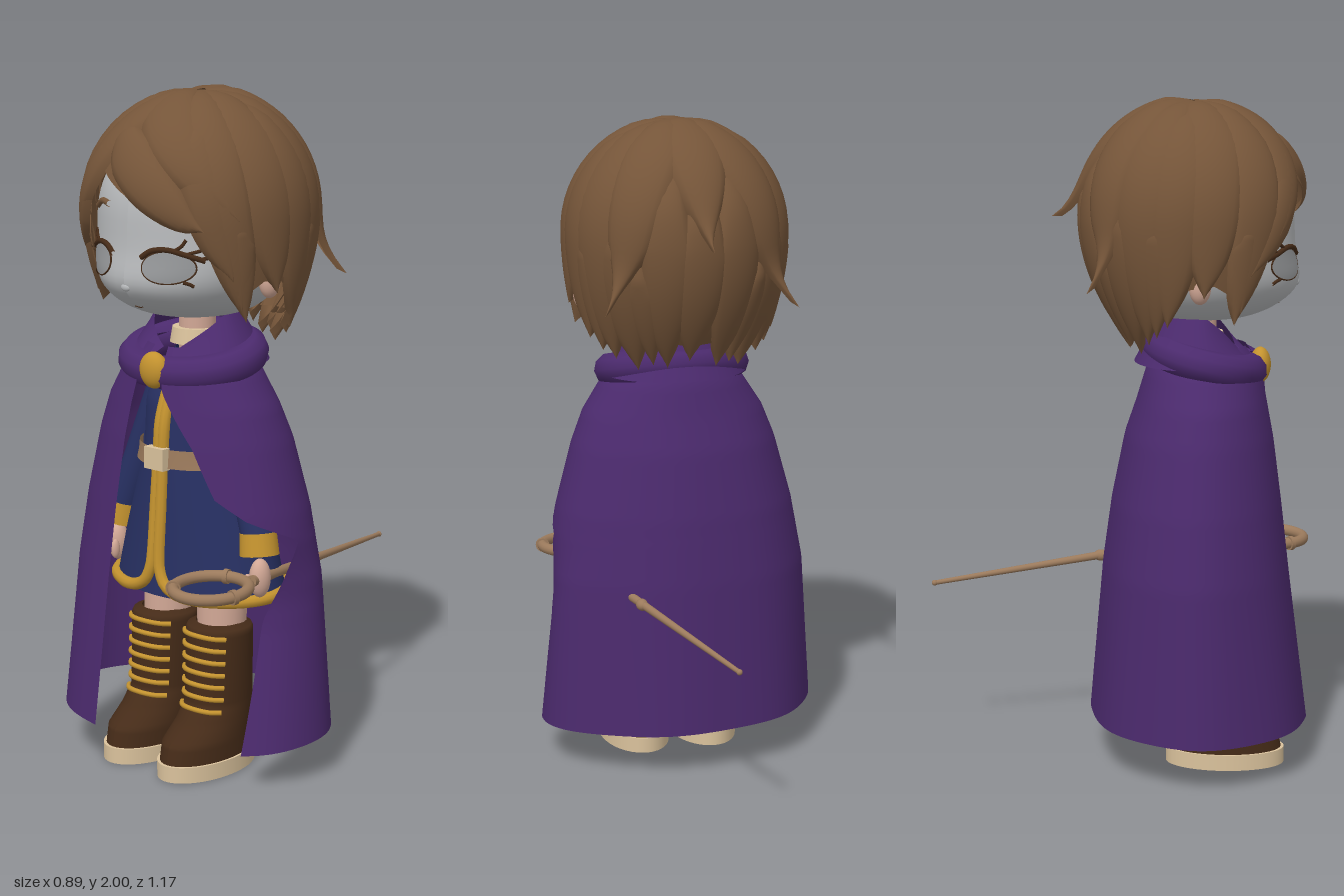
import * as THREE from 'three';

const V = (x, y, z) => new THREE.Vector3(x, y, z);
const rad = THREE.MathUtils.degToRad;
const mat = (name, color) => {
  const m = new THREE.MeshStandardMaterial({ color, side: THREE.DoubleSide });
  m.name = name;
  return m;
};

// Linear interpolation in rows [key, a, b, ...] sorted by key
function keyed(rows, k) {
  let i = 0;
  while (i < rows.length - 2 && k > rows[i + 1][0]) i++;
  const a = rows[i], b = rows[i + 1];
  const t = THREE.MathUtils.clamp((k - a[0]) / (b[0] - a[0]), 0, 1);
  return a.slice(1).map((v, j) => v + (b[j + 1] - v) * t);
}

// Smooth surface from fn(u, v) -> Vector3
function grid(fn, nu, nv) {
  const pos = [], idx = [];
  for (let j = 0; j <= nv; j++) for (let i = 0; i <= nu; i++) pos.push(...fn(i / nu, j / nv).toArray());
  for (let j = 0; j < nv; j++) for (let i = 0; i < nu; i++) {
    const a = j * (nu + 1) + i, b = a + 1, c = a + nu + 1, d = c + 1;
    idx.push(a, b, d, a, d, c);
  }
  const g = new THREE.BufferGeometry();
  g.setAttribute('position', new THREE.Float32BufferAttribute(pos, 3));
  g.setIndex(idx);
  g.computeVertexNormals();
  return g;
}

// Elliptical cross-sections: rows [y, rx, rz, cz]
function ringPt(rows, y, az, off = 0) {
  const [rx, rz, cz] = keyed(rows, y);
  return V((rx + off) * Math.sin(az), y, cz + (rz + off) * Math.cos(az));
}
const loft = (rows, nv = 24) => grid((u, v) =>
  ringPt(rows, rows[0][0] + (rows[rows.length - 1][0] - rows[0][0]) * v, u * 2 * Math.PI), 40, nv);
const tube = (pts, r) => new THREE.TubeGeometry(new THREE.CatmullRomCurve3(pts), pts.length * 6, r, 10);

// Face surface
function facePt(az, y) {
  const c = Math.pow(Math.min(1, Math.abs(y - 1.61) / 0.26), 1.25);
  const r = Math.pow(1 - c * c, y < 1.61 ? 0.32 : 0.38);
  const bump = 0.038 * Math.exp(-(((y - 1.45) / 0.08) ** 2)) * Math.max(0, Math.cos(az));
  return V(0.285 * r * Math.sin(az), y, 0.24 + 0.275 * r * Math.cos(az) + bump);
}
function onFace(x, y, off = 0.004) {
  const w = facePt(Math.PI / 2, y).x;
  const p = facePt(Math.asin(THREE.MathUtils.clamp(x / w, -1, 1)), y);
  return V(x, y, p.z + off);
}

// Hair surface: s = 0 crown, 1 widest, 2 nape (tucked in at the back)
const HC = V(0, 1.66, 0.21);
function hairPt(az, s, off = 0) {
  const th = s * Math.PI / 2, c = Math.cos(az);
  const r = s < 1 ? Math.sin(th) : 1 - (0.15 + 0.2 * Math.max(0, -c)) * (s - 1) ** 2;
  const h = s < 1 ? Math.cos(th) : 1 - s;
  const rz = c > 0 ? 0.337 : 0.32;
  return V((0.326 + off) * r * Math.sin(az), 1.66 + (0.325 + off) * h, 0.21 + (rz + off) * r * c);
}
function onHair(p, off) {
  const d = p.clone().sub(HC), q = Math.hypot(d.x, d.z);
  const s = d.y > 0 ? Math.atan2(q, d.y) / (Math.PI / 2) : 1 - d.y / 0.325;
  return hairPt(Math.atan2(d.x, d.z), s, off);
}
// Puffed pointed lock between two places (degrees, s) on the hair surface
function lock(az0, s0, az1, s1, width, flick = 0, bulge = 0.026) {
  const mid = (t) => hairPt(rad(az0 + (az1 - az0) * t), s0 + (s1 - s0) * t);
  return grid((u, v) => {
    const p = mid(v), t = mid(v + 0.01).sub(mid(v - 0.01)).normalize();
    const side = t.cross(p.clone().sub(HC).normalize()).normalize();
    const w = width * Math.min(1, 0.35 + 2.2 * v) * Math.pow(1 - v ** 4, flick ? 1.5 : 0.9);
    const k = u * 2 - 1;
    const off = bulge * Math.sqrt(Math.max(0, 1 - k * k)) * Math.min(1, 4 * v + 0.5) - 0.004 + flick * v ** 12;
    return onHair(p.addScaledVector(side, w * k), off);
  }, 10, 22);
}

export function createModel() {
  const M = {
    hair: mat('hair brown', 0x755539), face: mat('face grey', 0xb8babc), skin: mat('skin', 0xd2a896),
    cloak: mat('cloak purple', 0x4b2a6d), navy: mat('tunic navy', 0x273062), gold: mat('gold trim', 0xc4932f),
    boot: mat('boot brown', 0x452b18), cream: mat('cream', 0xdac29c), wood: mat('wood', 0x9b7a5c), eye: mat('eye grey', 0x97999b),
  };
  const root = new THREE.Group();
  const add = (name, geo, m, parent = root) => {
    const mesh = new THREE.Mesh(geo, m);
    mesh.name = name;
    parent.add(mesh);
    return mesh;
  };
  const ball = (name, m, x, y, z, a, b, c) => {
    const o = add(name, new THREE.SphereGeometry(1, 24, 16), m);
    o.position.set(x, y, z);
    o.scale.set(a, b, c);
  };
  const rod = (name, m, a, b, r0, r1) => {
    const d = b.clone().sub(a);
    const o = add(name, new THREE.CylinderGeometry(r1, r0, d.length(), 20), m);
    o.position.copy(a).addScaledVector(d, 0.5);
    o.quaternion.setFromUnitVectors(V(0, 1, 0), d.normalize());
  };

  // Head and facial details
  add('face', grid((u, v) => {
    const c = -Math.cos(Math.PI * v);
    return facePt(u * 2 * Math.PI, 1.61 + 0.26 * Math.sign(c) * Math.pow(Math.abs(c), 0.8));
  }, 48, 40), M.face);
  ball('nose', M.face, 0, 1.46, onFace(0, 1.46).z - 0.009, 0.018, 0.012, 0.009);
  const stroke = (name, pts, r, m) => add(name, tube(pts.map(([x, y]) => onFace(x, y, 0.002)), r), m);
  stroke('mouth', [[-0.015, 1.398], [0, 1.395], [0.015, 1.398]], 0.0015, M.boot);
  for (const s of [-1, 1]) {
    add('eye', grid((u, v) => onFace(s * 0.13 + s * 0.068 * v * Math.cos(u * 2 * Math.PI),
      1.525 - s * 0.044 * v * Math.sin(u * 2 * Math.PI)), 32, 6), M.eye);
    const rim = [];
    for (let i = 0; i <= 20; i++) rim.push([s * 0.13 + 0.069 * Math.cos(i * Math.PI / 10), 1.525 + 0.045 * Math.sin(i * Math.PI / 10)]);
    stroke('eyeOutline', rim, 0.0025, M.boot);
    stroke('upperLash', [[s * 0.055, 1.55], [s * 0.085, 1.57], [s * 0.13, 1.575], [s * 0.18, 1.56], [s * 0.215, 1.545]], 0.008, M.boot);
    for (const [x, y, dx, dy] of [[0.18, 1.565, 0.05, 0.03], [0.2, 1.55, 0.045, 0.012], [0.15, 1.575, 0.025, 0.03], [0.17, 1.485, 0.02, -0.012]])
      stroke('lash', [[s * x, y], [s * (x + dx * 0.6), y + dy * 0.4], [s * (x + dx), y + dy]], 0.005, M.boot);
    stroke('brow', [[s * 0.165, 1.672], [s * 0.13, 1.69], [s * 0.085, 1.686]], 0.009, M.hair);
    ball('ear', M.skin, s * 0.285, 1.475, 0.235, 0.03, 0.05, 0.032);
  }

  // Hair cap with a swept hemline, shorter in front of the ears
  const hem = [[-180, 1.34], [-125, 1.36], [-105, 1.4], [-92, 1.47], [-78, 1.48], [-66, 1.44], [-55, 1.52], [-40, 1.66], [-25, 1.8],
    [0, 1.73], [20, 1.68], [37, 1.645], [47, 1.6], [56, 1.52], [66, 1.44], [78, 1.48], [92, 1.47], [105, 1.4], [125, 1.36], [180, 1.34]];
  add('hairCap', grid((u, v) => {
    const az = u * 360 - 180, y = keyed(hem, az)[0] - 1.66;
    const s = y > 0 ? Math.acos(y / 0.325) / (Math.PI / 2) : 1 - y / 0.325;
    return hairPt(rad(az), s * (1 - v));
  }, 120, 30), M.hair);

  // Hair locks: fringe, then mirrored sides and back
  const locks = [[-20, 0.45, 46, 1.08, 0.085], [-8, 0.02, 62, 1.0, 0.1], [-5, 0.02, -46, 1.12, 0.085], [-22, 0.5, -62, 1.45, 0.06],
    [40, 0.4, 60, 1.5, 0.08], [180, 0.02, 180, 1.02, 0.11, 0.07, 0.032], [180, 0.7, 176, 2.06, 0.09]];
  for (const m of [-1, 1]) {
    for (const [a, s0, b, s1, ...r] of [[45, 0.02, 68, 1.85, 0.09], [75, 0.02, 84, 1.62, 0.1], [95, 0.2, 104, 1.88, 0.1],
      [115, 0.02, 120, 2.05, 0.11], [150, 0.02, 136, 1.45, 0.11, 0.1, 0.032], [162, 0.6, 158, 2.13, 0.085], [132, 0.9, 134, 2.15, 0.075],
      [110, 1.0, 112, 1.98, 0.06], [62, 1.0, 65, 1.75, 0.055], [145, 1.2, 147, 2.1, 0.05]]) locks.push([m * a, s0, m * b, s1, ...r]);
  }
  for (const l of locks) add('hairLock', lock(...l), M.hair);

  // Neck and collar band
  rod('neck', M.skin, V(0, 1.2, 0.23), V(0, 1.4, 0.23), 0.055, 0.055);
  rod('neckBand', M.cream, V(0, 1.265, 0.235), V(0, 1.31, 0.235), 0.078, 0.07);

  // Tunic with trim and belt
  const dress = [[0.53, 0.29, 0.2, 0.22], [0.7, 0.245, 0.185, 0.22], [0.95, 0.165, 0.165, 0.22], [1.1, 0.165, 0.15, 0.22], [1.25, 0.06, 0.07, 0.23]];
  add('tunic', loft(dress, 30), M.navy);
  for (const s of [-1, 1]) {
    const path = [[1.2, 3], [1.05, 3], [0.95, 3], [0.8, 3], [0.65, 3], [0.61, 4], [0.57, 8], [0.547, 16], [0.537, 30], [0.537, 60], [0.54, 90], [0.54, 135], [0.54, 180]];
    add('tunicTrim', tube(path.map(([y, a]) => ringPt(dress, y, s * rad(a), 0.003)), 0.018), M.gold);
  }
  add('belt', grid((u, v) => ringPt(dress, 0.915 + 0.055 * v, u * 2 * Math.PI, 0.015), 48, 2), M.wood);
  add('buckle', new THREE.BoxGeometry(0.075, 0.065, 0.03), M.cream).position.set(0, 0.942, 0.405);

  // Arms, legs and boots
  const boot = [[0.04, 0.1, 0.172, 0.32], [0.1, 0.1, 0.165, 0.315], [0.15, 0.097, 0.13, 0.285], [0.2, 0.094, 0.108, 0.265],
    [0.43, 0.1, 0.1, 0.26], [0.442, 0.07, 0.07, 0.26]];
  for (const s of [-1, 1]) {
    rod('sleeve', M.navy, V(s * 0.13, 1.12, 0.22), V(s * 0.275, 0.72, 0.265), 0.06, 0.052);
    rod('cuff', M.gold, V(s * 0.27, 0.74, 0.265), V(s * 0.28, 0.675, 0.27), 0.054, 0.058);
    ball('hand', M.skin, s * 0.29, 0.61, 0.28, 0.03, 0.058, 0.034);
    ball('thumb', M.skin, s * 0.27, 0.595, 0.312, 0.012, 0.03, 0.015);
    rod('leg', M.skin, V(s * 0.11, 0.4, 0.25), V(s * 0.11, 0.62, 0.24), 0.072, 0.08);
    const foot = new THREE.Group();
    foot.name = 'bootGroup';
    foot.position.x = s * 0.112;
    root.add(foot);
    add('boot', loft(boot, 40), M.boot, foot);
    const sole = add('sole', new THREE.CylinderGeometry(1, 1, 0.048, 40), M.cream, foot);
    sole.scale.set(0.107, 1, 0.18);
    sole.position.set(0, 0.024, 0.32);
    for (let i = 0; i < 7; i++) {
      const y = 0.19 + i * 0.037, pts = [];
      for (let a = -54; a <= 54; a += 18) pts.push(ringPt(boot, y + 0.003 * Math.cos(rad(a * 3)), rad(a), 0.003));
      add('lace', tube(pts, 0.0075), M.gold, foot);
    }
  }

  // Cloak, held open around the left arm, its free edge curling inward
  const body = [[0.1, 0.448, 0.342, 0.244], [0.6, 0.415, 0.287, 0.231], [0.8, 0.378, 0.261, 0.232], [1.0, 0.324, 0.227, 0.238],
    [1.1, 0.285, 0.2, 0.245], [1.2, 0.22, 0.175, 0.25], [1.27, 0.14, 0.13, 0.245]];
  const openEdge = [[0.1, 57], [0.5, 70], [0.66, 84], [0.73, 92], [0.77, 72], [0.8, 58], [0.86, 42], [1.0, 31], [1.15, 11], [1.27, 8]];
  add('cloak', grid((u, v) => {
    const w = 1 - u, low = 0.14 - 0.04 * Math.pow(w, 6), y = low + (1.27 - low) * v;
    const az = rad(-14 + w * (keyed(openEdge, y)[0] - 346));
    const curl = 0.075 * Math.max(0, (w - 0.82) / 0.18) ** 2 * THREE.MathUtils.smoothstep(0.75 - y, 0, 0.3);
    return ringPt(body, y, az, 0.004 * Math.sin(az * 7) * (1 - v) - curl);
  }, 96, 60), M.cloak);

  // Hood folded around the neck, standing collar and brooch
  const roll = [];
  for (let a = 5; a <= 355; a += 14) {
    const t = rad(a);
    roll.push(V(0.193 * Math.sin(t), 1.195 + 0.035 * (1 - Math.cos(t)), 0.25 + 0.14 * Math.cos(t)));
  }
  add('hoodRoll', tube(roll, 0.051), M.cloak);
  add('hoodCollar', grid((u, v) => {
    const az = rad(12 + 336 * u), top = 1.26 + 0.105 * Math.min(1, 5 * Math.min(u, 1 - u));
    const r = 0.225 - 0.09 * v;
    return V(r * Math.sin(az), 1.22 + (top - 1.22) * v, 0.23 + r * 0.85 * Math.cos(az));
  }, 48, 8), M.cloak);
  ball('brooch', M.gold, 0.005, 1.206, 0.418, 0.05, 0.054, 0.032);

  // Staff with a hoop handle
  rod('staff', M.wood, V(0.3, 0.612, 0.33), V(0.04, 0.51, -0.58), 0.017, 0.007);
  ball('staffKnob', M.wood, 0.187, 0.566, -0.07, 0.018, 0.018, 0.024);
  ball('staffTip', M.wood, 0.04, 0.51, -0.58, 0.009, 0.009, 0.009);
  const hoop = add('hoop', new THREE.TorusGeometry(0.108, 0.017, 14, 48), M.wood);
  hoop.position.set(0.262, 0.615, 0.458);
  hoop.rotation.x = Math.PI / 2 + 0.04;
  for (const a of [0.2, 2.5, 4.4]) {
    const band = add('hoopBand', new THREE.CylinderGeometry(0.022, 0.022, 0.014, 16), M.wood, hoop);
    band.position.set(0.108 * Math.cos(a), 0.108 * Math.sin(a), 0);
    band.rotation.z = a;
  }
  return root;
}
